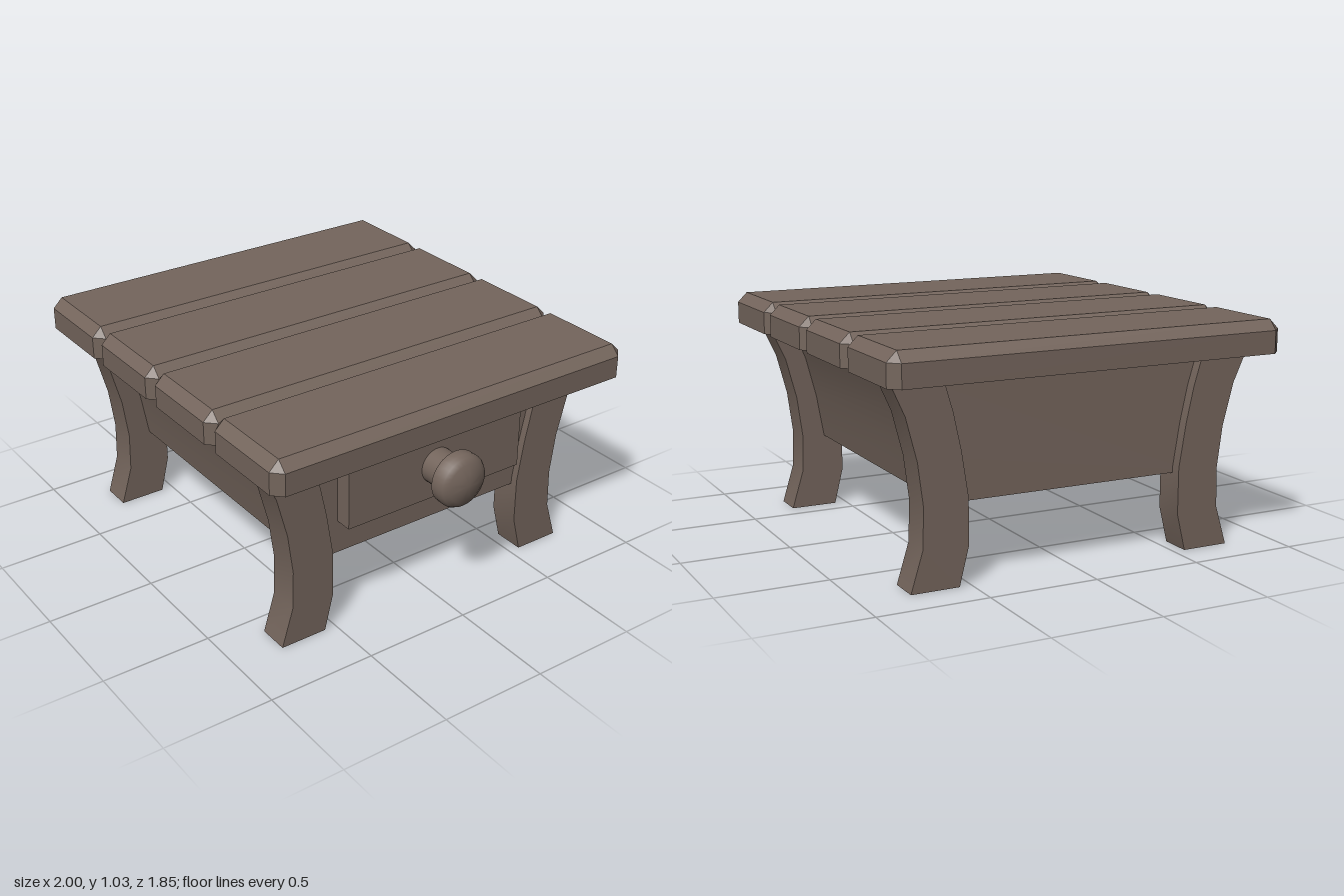
import * as THREE from 'three';
import { toCreasedNormals } from 'three/addons/utils/BufferGeometryUtils.js';

const wood = new THREE.MeshStandardMaterial({ color: 0x74655c, side: THREE.DoubleSide });
const MID_X = -0.044; // centre of the frame, the knob overhangs on +x

function addMesh(parent, name, geometry) {
  const mesh = new THREE.Mesh(geometry, wood);
  mesh.name = name;
  parent.add(mesh);
  return mesh;
}

// Side profile given as [z, y] points, extruded along x between x0 and x1
function profileAlongX(points, x0, x1) {
  const shape = new THREE.Shape(points.map(([z, y]) => new THREE.Vector2(z, y)));
  const geo = new THREE.ExtrudeGeometry(shape, { depth: x1 - x0, bevelEnabled: false });
  geo.rotateY(-Math.PI / 2);
  geo.translate(x1, 0, 0);
  return toCreasedNormals(geo, 0.5);
}

// Hollow plank, open underneath, with chamfered corners and top edges
function plankGeometry(w, l, y0, y1, c) {
  const hx = w / 2, hz = l / 2;
  const ring = (y, outer) => {
    const corners = [[1, 1], [1, -1], [-1, -1], [-1, 1]];
    return corners.flatMap(([sx, sz], i) => {
      const onZ = [sx * (hx - c), y, sz * (outer ? hz : hz - c)];
      const onX = [sx * (outer ? hx : hx - c), y, sz * (hz - c)];
      return i % 2 ? [onX, onZ] : [onZ, onX];
    });
  };
  const rings = [ring(y0, true), ring(y1 - c, true), ring(y1, false)];
  const pos = [];
  const tri = (...p) => p.forEach((v) => pos.push(...v));
  for (let r = 0; r < 2; r++) {
    for (let i = 0; i < 8; i++) {
      const j = (i + 1) % 8, lo = rings[r], hi = rings[r + 1];
      tri(lo[i], lo[j], hi[j]);
      if (r === 0 || i % 2) tri(lo[i], hi[j], hi[i]); // chamfer corners end in a point
    }
  }
  const top = rings[2];
  tri(top[0], top[2], top[4]);
  tri(top[0], top[4], top[6]);
  const geo = new THREE.BufferGeometry();
  geo.setAttribute('position', new THREE.Float32BufferAttribute(pos, 3));
  geo.computeVertexNormals();
  return geo;
}

export function createModel() {
  const model = new THREE.Group();
  model.name = 'smallTable';

  // Table top: four planks side by side
  const tableTop = new THREE.Group();
  tableTop.name = 'tableTop';
  model.add(tableTop);
  const plankW = 0.4855;
  const plank = plankGeometry(plankW, 1.845, 0.888, 1.035, 0.045);
  for (let i = 0; i < 4; i++) {
    addMesh(tableTop, 'plank', plank).position.x = -1 + plankW * (i + 0.5);
  }

  // Curved legs, mirrored front to back, their tops cut square to the curve
  const outer = [[0.775, 0], [0.72, 0.18], [0.715, 0.36], [0.74, 0.55], [0.79, 0.74], [0.86, 0.893]];
  const inner = [[0.655, 0.965], [0.625, 0.89], [0.58, 0.74], [0.545, 0.58], [0.513, 0.38], [0.513, 0.17], [0.555, 0]];
  const legProfile = [...outer, ...inner];
  for (const sx of [-1, 1]) {
    for (const sz of [-1, 1]) {
      const cx = MID_X + sx * 0.712;
      const points = legProfile.map(([z, y]) => [z * sz, y]);
      addMesh(model, sz > 0 ? 'frontLeg' : 'backLeg', profileAlongX(points, cx - 0.072, cx + 0.072));
    }
  }

  // Box body, its sides follow the curve of the legs
  const side = [[0.605, 0.35], [0.64, 0.55], [0.69, 0.74], [0.755, 0.9]];
  const body = [...side, ...side.map(([z, y]) => [-z, y]).reverse()];
  addMesh(model, 'body', profileAlongX(body, -0.78, 0.705));

  // Drawer front and turned knob on the +x end
  addMesh(model, 'drawerFront', new THREE.BoxGeometry(0.08, 0.31, 0.93)).position.set(0.745, 0.66, 0);
  const knobProfile = [[0.083, 0.78], [0.083, 0.902], [0.125, 0.902], [0.125, 0.945], [0.115, 0.963],
    [0.09, 0.978], [0.05, 0.99], [0, 1]].map(([r, x]) => new THREE.Vector2(r, x));
  const knob = toCreasedNormals(new THREE.LatheGeometry(knobProfile, 32), 0.7);
  knob.rotateZ(-Math.PI / 2);
  addMesh(model, 'knob', knob).position.y = 0.66;

  return model;
}
